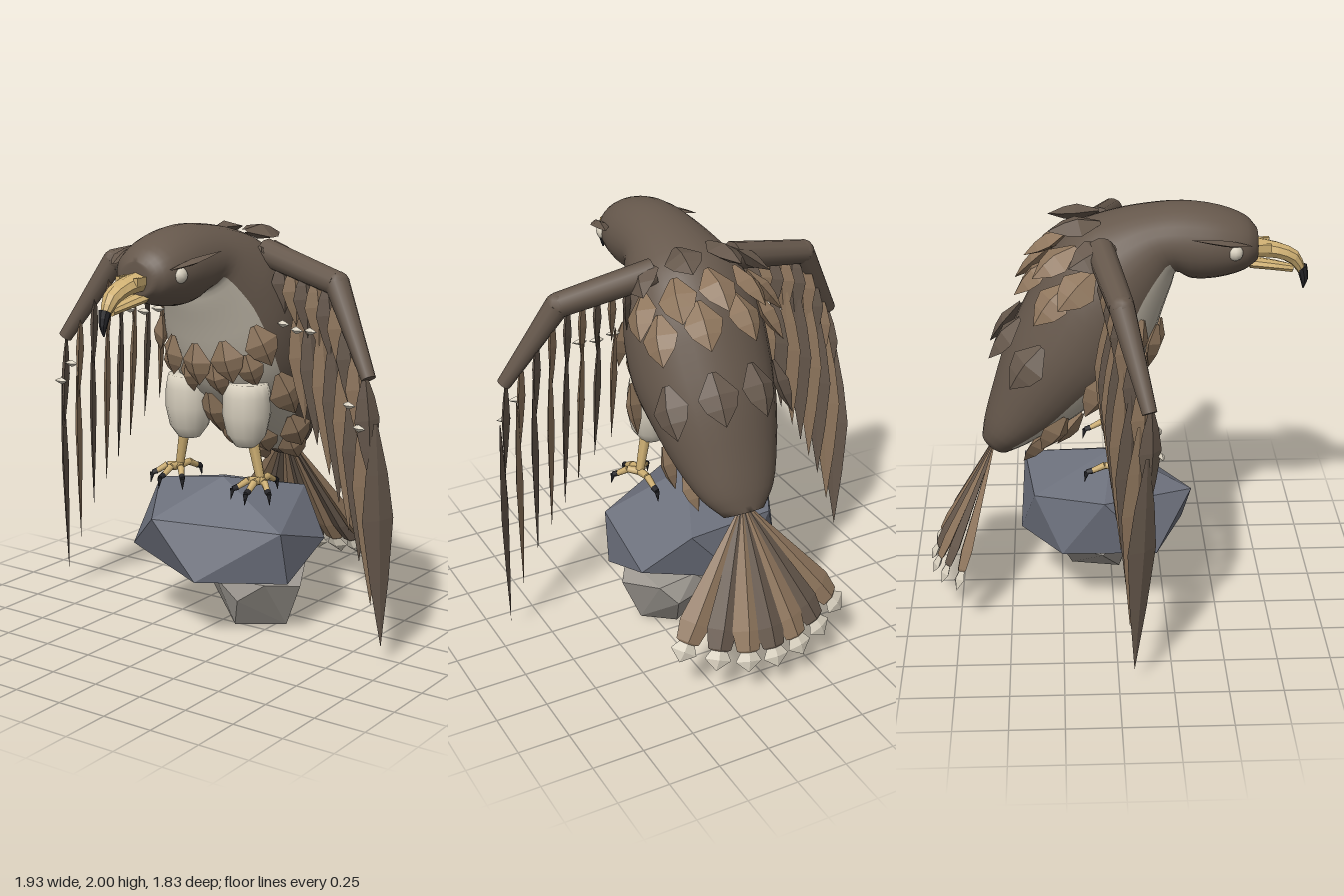
import * as THREE from 'three';
import { ConvexGeometry } from 'three/addons/geometries/ConvexGeometry.js';

const V = (x, y, z) => new THREE.Vector3(x, y, z);
const mat = (name, color) => {
  const m = new THREE.MeshStandardMaterial({ color });
  m.name = name;
  return m;
};

export function createModel() {
  const model = new THREE.Group();
  model.name = 'perchedRaptor';
  const dark = mat('darkBrown', 0x66584c), mid = mat('lightBrown', 0x8f765d);
  const breast = mat('breastGrey', 0xbab2a3), cream = mat('cream', 0xd6cebd);
  const gold = mat('beakGold', 0xcfb073), black = mat('clawBlack', 0x26262a);
  const slate = mat('slateRock', 0x6d717d), stone = mat('paleRock', 0x9f9a93);

  const group = (name) => {
    const g = new THREE.Group();
    g.name = name;
    model.add(g);
    return g;
  };
  const add = (parent, name, geo, material) => {
    const m = new THREE.Mesh(geo, material);
    m.name = name;
    parent.add(m);
    return m;
  };
  const flat = (geo) => {
    const g = geo.index ? geo.toNonIndexed() : geo;
    g.computeVertexNormals();
    return g;
  };

  // Ridged feather from root to tip; profile pairs are [half width, distance from root]
  const LEAF = [[0.12, 0], [0.7, 0.22], [1, 0.42], [0.6, 0.7], [0, 1]];
  const SCALE = [[0.2, 0], [1, 0.42], [0.75, 0.68], [0, 1]];
  const FAN = [[0.12, 0], [0.55, 0.4], [1, 0.82], [0.75, 0.96], [0, 1]];
  const CAP = [[0.4, 0], [1, 0.55], [0, 1]];
  const feather = (parent, name, root, tip, side, width, thick, material, profile = LEAF) => {
    const pts = profile.map(([r, d]) => new THREE.Vector2(r, -d)).reverse();
    const geo = new THREE.LatheGeometry(pts, 4);
    const y = root.clone().sub(tip), len = y.length();
    y.normalize();
    const x = side.clone().addScaledVector(y, -side.dot(y)).normalize();
    const z = x.clone().cross(y);
    geo.scale(width / 2, len, thick / 2);
    geo.applyMatrix4(new THREE.Matrix4().makeBasis(x, y, z).setPosition(root));
    return add(parent, name, flat(geo), material);
  };
  // Tapered round rod between two points
  const rod = (parent, name, a, b, ra, rb, material, sides = 8) => {
    const d = b.clone().sub(a);
    const geo = new THREE.CylinderGeometry(rb, ra, d.length(), sides);
    const m = add(parent, name, geo, material);
    m.position.copy(a).add(b).multiplyScalar(0.5);
    m.quaternion.setFromUnitVectors(V(0, 1, 0), d.normalize());
    return m;
  };

  // Oval cross-sections: [top z, top y, bottom z, bottom y, half width], ordered front to back
  const surface = (rings) => {
    const top = new THREE.CatmullRomCurve3(rings.map((r) => V(r[4], r[1], r[0])));
    const low = new THREE.CatmullRomCurve3(rings.map((r) => V(0, r[3], r[2])));
    return (s, a) => {
      const t = top.getPoint(s / (rings.length - 1)), b = low.getPoint(s / (rings.length - 1));
      const c = (1 + Math.cos(a)) / 2;
      return V(t.x * Math.sin(a), b.y + (t.y - b.y) * c, b.z + (t.z - b.z) * c);
    };
  };
  const loft = (rings, steps, seg, isSecond = () => false) => {
    const at = surface(rings), end = rings.length - 1, pos = [], parts = [[], []];
    for (let i = 0; i <= steps; i++)
      for (let j = 0; j < seg; j++) pos.push(...at(end * i / steps, 2 * Math.PI * j / seg).toArray());
    for (let i = 0; i < steps; i++)
      for (let j = 0; j < seg; j++) {
        const k = (j + 1) % seg, a = i * seg + j, b = i * seg + k;
        const second = isSecond(end * (i + 0.5) / steps, 2 * Math.PI * (j + 0.5) / seg);
        parts[second ? 1 : 0].push(a, b, a + seg, b, b + seg, a + seg);
      }
    for (let j = 1; j < seg - 1; j++) {
      const o = steps * seg;
      parts[0].push(0, j + 1, j, o, o + j, o + j + 1);
    }
    const geo = new THREE.BufferGeometry();
    geo.setAttribute('position', new THREE.Float32BufferAttribute(pos, 3));
    geo.setIndex([...parts[0], ...parts[1]]);
    geo.addGroup(0, parts[0].length, 0);
    geo.addGroup(parts[0].length, parts[1].length, 1);
    geo.computeVertexNormals();
    return geo;
  };

  // Head, neck and body in one smooth skin with a pale underside
  const bodyRings = [
    [0.67, 1.87, 0.67, 1.72, 0.09], [0.62, 1.925, 0.61, 1.68, 0.15], [0.5, 1.975, 0.48, 1.645, 0.185],
    [0.33, 2.0, 0.36, 1.645, 0.195], [0.15, 1.985, 0.3, 1.68, 0.205], [0, 1.955, 0.28, 1.62, 0.24],
    [-0.15, 1.9, 0.24, 1.5, 0.29], [-0.28, 1.77, 0.19, 1.34, 0.33], [-0.4, 1.55, 0.1, 1.17, 0.335],
    [-0.5, 1.33, -0.05, 1.05, 0.305], [-0.57, 1.1, -0.22, 0.92, 0.25], [-0.615, 0.93, -0.4, 0.81, 0.18],
    [-0.63, 0.83, -0.5, 0.75, 0.1]];
  add(model, 'body', loft(bodyRings, 36, 28, (s, a) => s > 3.9 && s < 11.3 && Math.abs(a - Math.PI) < 1.15), [dark, breast]);

  // Overlapping scale feathers laid over the body skin
  const skin = surface(bodyRings);
  const plumage = group('bodyFeathers');
  const scaleRow = (name, s, base, angles, material, width = 0.18, len = 0.24, lift = 0.06) => {
    for (const d of angles) for (const sign of d ? [1, -1] : [1]) {
      const a = base + d * sign, p = skin(s, a);
      const along = skin(s + 0.1, a).sub(p).normalize();
      const across = skin(s, a + 0.05).sub(p).normalize();
      const out = across.clone().cross(along).normalize();
      const tip = p.clone().addScaledVector(along, len).addScaledVector(out, lift);
      feather(plumage, name, p.addScaledVector(out, 0.008), tip, across, width, 0.075, material, SCALE);
    }
  };
  scaleRow('shoulderFeather', 5.4, 0, [0.32, 0.95], dark);
  scaleRow('upperBackFeather', 6.3, 0, [0, 0.52, 1.04], mid);
  scaleRow('middleBackFeather', 7.0, 0, [0.28, 0.84], mid);
  scaleRow('lowerBackFeather', 8.3, 0, [0.3, 0.98], dark, 0.19, 0.25);
  scaleRow('chestFeather', 6.4, Math.PI, [0, 0.46, 0.98], mid, 0.165, 0.21, 0.03);
  scaleRow('lowerChestFeather', 7.0, Math.PI, [0.23, 0.72], mid, 0.13, 0.18, 0.01);
  scaleRow('flankFeather', 7.9, Math.PI, [0, 1.08], mid, 0.18, 0.24, 0.05);
  scaleRow('bellyFeather', 9.5, Math.PI, [0.35, 1.0], mid, 0.17, 0.2);
  scaleRow('ventFeather', 10.2, Math.PI, [0, 0.8], mid, 0.15, 0.19);

  // Hooked beak
  const beak = group('beak');
  add(beak, 'upperBeak', flat(loft([[0.905, 1.67, 0.87, 1.65, 0.022], [0.865, 1.755, 0.83, 1.695, 0.042],
    [0.77, 1.80, 0.76, 1.725, 0.055], [0.65, 1.825, 0.65, 1.73, 0.062]], 6, 8)), gold);
  add(beak, 'beakTip', flat(loft([[0.9, 1.57, 0.895, 1.57, 0.004], [0.92, 1.62, 0.882, 1.615, 0.018],
    [0.91, 1.69, 0.865, 1.665, 0.03]], 4, 8)), black);
  add(beak, 'lowerBeak', flat(loft([[0.85, 1.69, 0.84, 1.65, 0.02], [0.76, 1.71, 0.76, 1.665, 0.04],
    [0.64, 1.73, 0.64, 1.68, 0.05]], 4, 8)), gold);

  // Rocks
  const rock = (name, pts, material) => add(model, name, flat(new ConvexGeometry(pts.map((p) => V(...p)))), material);
  rock('largeRock', [[0, 0.74, 0], [-0.42, 0.66, -0.05], [-0.15, 0.59, 0.38], [0.4, 0.54, 0.1], [0.2, 0.63, -0.43],
    [-0.25, 0.62, -0.38], [-0.4, 0.38, 0.2], [0.08, 0.31, 0.355], [0.41, 0.28, 0.05], [0.4, 0.42, -0.3],
    [-0.05, 0.34, -0.45], [-0.36, 0.36, -0.25], [0.05, 0.24, 0]], slate);
  rock('smallRock', [[-0.12, 0.2, -0.05], [0.1, 0.01, 0.04], [0.31, 0.01, -0.1], [0.4, 0.23, -0.08], [0.16, 0.16, 0.11],
    [0.03, 0.25, 0.1], [0.3, 0.26, 0.08], [0, 0.2, -0.26], [0.22, 0.2, -0.335], [0.3, 0.29, -0.29],
    [0.1, 0.3, -0.27], [0.16, 0, -0.2]], stone);

  // Tail fan with pale ends
  const tail = group('tail');
  for (let i = -3; i <= 3; i++) {
    const q = (i / 3) ** 2;
    const root = V(i * 0.014, 0.79, -0.575), tip = V(i * 0.133, 0.2 + 0.075 * q, -0.875 + 0.135 * q);
    const dir = tip.clone().sub(root).normalize(), side = V(1, -i * 0.08, i * 0.04);
    feather(tail, 'tailFeather', root, tip, side, 0.15, 0.05, i % 2 ? mid : dark, FAN);
    feather(tail, 'tailFeatherEnd', tip.clone().addScaledVector(dir, -0.04), tip.clone().addScaledVector(dir, 0.075),
      side, 0.13, 0.04, cream, CAP);
  }

  // Paired parts; m = 1 is the model's left
  for (const m of [1, -1]) {
    const P = (x, y, z) => V(x * m, y, z);
    const word = m > 0 ? 'left' : 'right';

    // Eye and brow, with a raised ridge beside the nostril
    const face = group(word + 'Face');
    add(face, 'eye', new THREE.SphereGeometry(0.038, 12, 8), cream).position.copy(P(0.153, 1.808, 0.555));
    feather(face, 'brow', P(0.16, 1.84, 0.63), P(0.24, 1.9, 0.35), P(1, 0.1, 0), 0.09, 0.03, dark);
    add(face, 'nostrilRidge', new THREE.BoxGeometry(0.02, 0.035, 0.08), gold).position.copy(P(0.05, 1.79, 0.695));

    // Wing arm
    const wing = group(word + 'Wing');
    const shoulder = P(0.2, 1.845, -0.06), elbow = P(0.64, 1.745, 0.02), wrist = P(0.875, 1.355, 0.13);
    rod(wing, 'upperArm', shoulder, elbow, 0.066, 0.058, dark, 10);
    add(wing, 'elbow', new THREE.SphereGeometry(0.058, 10, 8), dark).position.copy(elbow);
    rod(wing, 'forearm', elbow, wrist, 0.058, 0.034, dark, 10);

    // Coverts hang from the arm; longer flight feathers start below them
    const arm = (x) => (x < 0.64 ? shoulder.clone().lerp(elbow, (x - 0.2) / 0.44) : elbow.clone().lerp(wrist, (x - 0.64) / 0.235));
    const blade = P(0.56, 0, -0.83);
    const tips = [[0.43, 1.05], [0.51, 0.96], [0.59, 0.83], [0.655, 0.71], [0.72, 0.59], [0.79, 0.46], [0.865, 0.27], [0.935, 0.085]];
    tips.forEach(([x, y], i) => {
      const root = arm(0.385 + i * 0.07).add(P(0.005 * i, -0.2, -0.01));
      feather(wing, 'flightFeather', root, P(x, y, -0.06 + i * 0.0185), blade, 0.115 + i * 0.006, 0.035, i % 2 ? dark : mid);
    });
    for (let i = 0; i < 9; i++) {
      const root = arm(0.315 + i * 0.068), len = 0.25 + i * 0.032;
      root.z += 0.015;
      const tip = root.clone().add(P(0.012 + i * 0.003, -len, -0.01));
      feather(wing, 'covert', root, tip, blade, 0.125, 0.04, i % 2 ? mid : dark);
    }
    // Small pale barbs at the joints between feather layers
    for (const [x, y, z] of [[0.77, 1.235, 0.17], [0.83, 1.14, 0.18], [0.33, 1.535, 0.03], [0.41, 1.515, 0.04], [0.49, 1.52, 0.05]])
      feather(wing, 'paleBarb', P(x, y, z), P(x + 0.07, y, z + 0.01), V(0, 1, 0), 0.035, 0.03, cream);

    // Thigh, shin, toes and claws
    const leg = group(word + 'Leg');
    const thigh = new THREE.LatheGeometry([[0, -0.17], [0.055, -0.155], [0.095, -0.1], [0.117, 0], [0.114, 0.09], [0.102, 0.155], [0, 0.157]]
      .map((p) => new THREE.Vector2(...p)), 14);
    add(leg, 'thigh', thigh, cream).position.copy(P(0.168, 1.085, 0.045));
    const ankle = P(0.24, 0.765, 0.03);
    rod(leg, 'shin', P(0.2, 0.96, 0.04), ankle, 0.03, 0.023, gold, 6);
    for (const [dx, dz] of [[-0.075, 0.085], [0.01, 0.12], [0.085, 0.07], [-0.01, -0.13]]) {
      const knuckle = ankle.clone().add(P(dx * 0.55, 0.005, dz * 0.55));
      const toe = ankle.clone().add(P(dx, -0.025, dz));
      rod(leg, 'toe', ankle, knuckle, 0.022, 0.018, gold, 6);
      rod(leg, 'toeEnd', knuckle, toe, 0.018, 0.014, gold, 6);
      const bend = toe.clone().add(P(dx * 0.22, -0.008, dz * 0.22));
      rod(leg, 'claw', toe, bend, 0.016, 0.013, black, 6);
      rod(leg, 'clawTip', bend, toe.clone().add(P(dx * 0.3, -0.06, dz * 0.3)), 0.013, 0.001, black, 6);
    }
  }
  return model;
}
